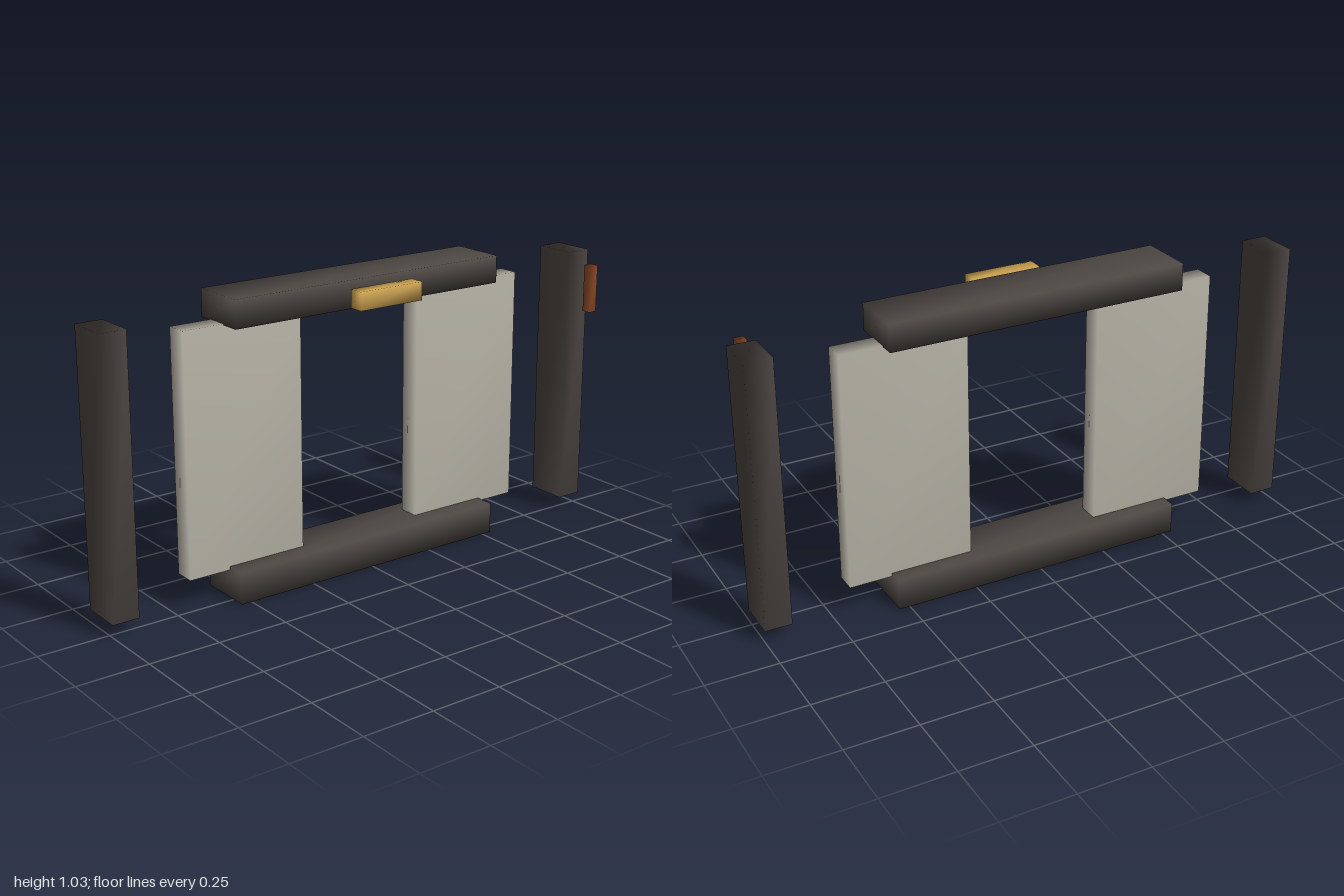
import * as THREE from 'three';
import { mergeVertices } from 'three/addons/utils/BufferGeometryUtils.js';

const material = (color) => new THREE.MeshStandardMaterial({ color });

// Box from its limits on each axis, with normals shared across the corners
function softBox(name, [x0, x1], [y0, y1], [z0, z1], mat) {
  let geometry = new THREE.BoxGeometry(x1 - x0, y1 - y0, z1 - z0);
  geometry.deleteAttribute('normal');
  geometry.deleteAttribute('uv');
  geometry = mergeVertices(geometry);
  geometry.computeVertexNormals();
  const mesh = new THREE.Mesh(geometry, mat);
  mesh.name = name;
  mesh.position.set((x0 + x1) / 2, (y0 + y1) / 2, (z0 + z1) / 2);
  return mesh;
}

export function createModel() {
  const group = new THREE.Group();
  group.name = 'slidingDoorFrame';

  const dark = material(0x4d4743);
  const stone = material(0xb8b4a8);
  const brass = material(0xc9a050);
  const copper = material(0x8a4a28);

  // Threshold and lintel
  group.add(softBox('bottomRail', [-0.537, 0.537], [0, 0.111], [-0.149, 0.051], dark));
  group.add(softBox('topRail', [-0.537, 0.537], [0.932, 1.028], [-0.149, 0.051], dark));

  // Side posts and door panels, mirrored left and right
  for (const [side, s] of [['left', 1], ['right', -1]]) {
    const span = (inner, outer) => (s > 0 ? [inner, outer] : [-outer, -inner]);
    group.add(softBox(side + 'Post', span(0.905, 1), [0.044, 0.987], [-0.124, 0.026], dark));
    group.add(softBox(side + 'DoorPanel', span(0.242, 0.688), [0.099, 0.936], [-0.095, -0.02], stone));
  }

  // Lamp bar over the doorway and control plate by the left post
  group.add(softBox('lampBar', [-0.125, 0.125], [0.949, 1.012], [0.098, 0.152], brass));
  group.add(softBox('controlPlate', [0.905, 0.937], [0.787, 0.956], [0.108, 0.142], copper));

  return group;
}
